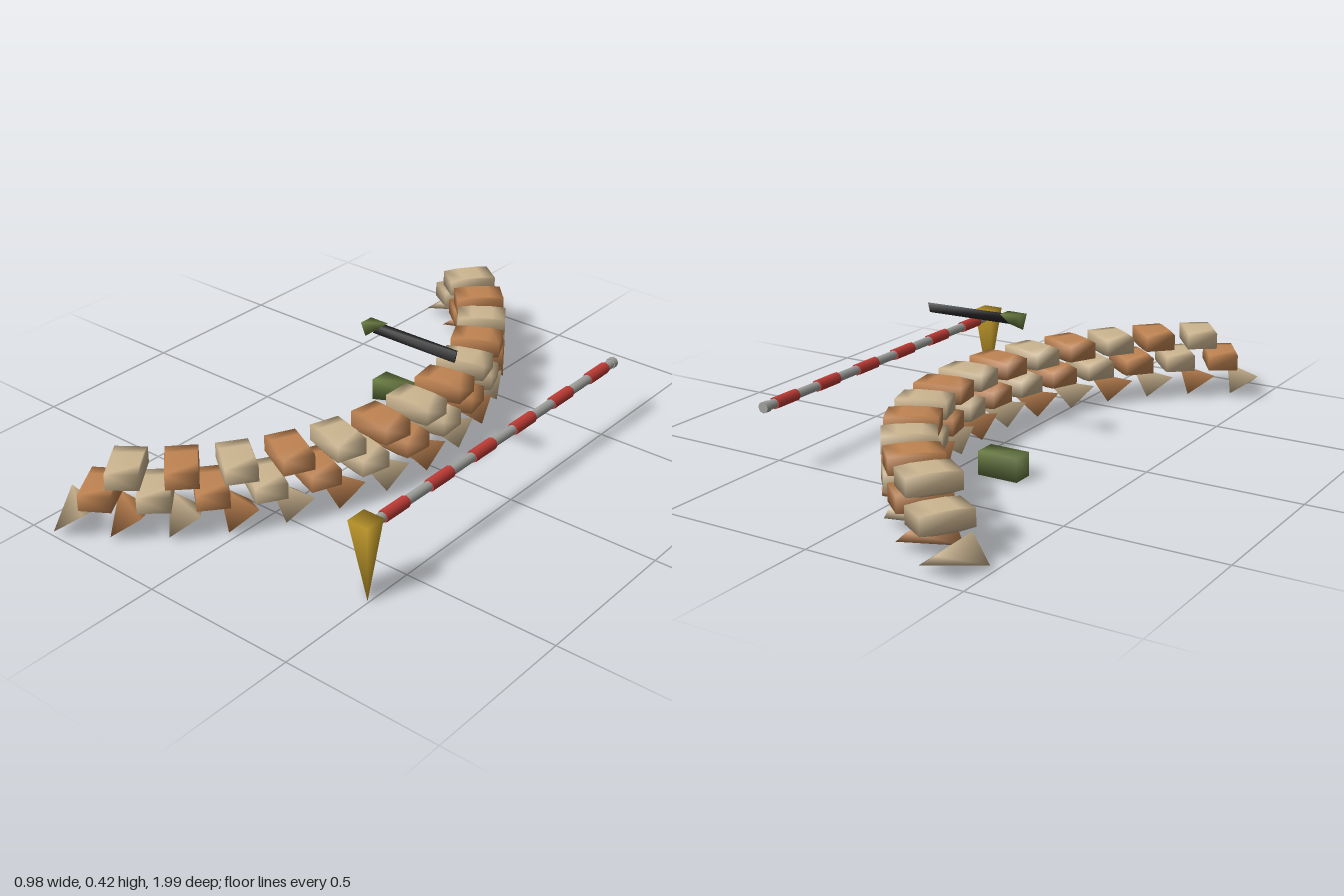
import * as THREE from 'three';
import { mergeVertices } from 'three/addons/utils/BufferGeometryUtils.js';
import { ConvexGeometry } from 'three/addons/geometries/ConvexGeometry.js';

const mat = (name, color) => new THREE.MeshStandardMaterial({ name, color });

// Convex solid from a few corner points, with soft normals
function hull(points) {
  const geo = new ConvexGeometry(points.map((p) => new THREE.Vector3(...p)));
  geo.deleteAttribute('normal');
  const soft = mergeVertices(geo);
  soft.computeVertexNormals();
  return soft;
}

export function createModel() {
  const model = new THREE.Group();
  const sand = mat('sand canvas', 0xcdb691);
  const brown = mat('brown canvas', 0xc08452);
  const yellow = mat('yellow post', 0xcfa52e);
  const red = mat('red band', 0xc23c36);
  const grey = mat('grey metal', 0xa3a3a0);
  const green = mat('olive green', 0x66783f);
  const black = mat('gun black', 0x222224);

  function add(parent, name, geometry, material, x = 0, y = 0, z = 0) {
    const mesh = new THREE.Mesh(geometry, material);
    mesh.name = name;
    mesh.position.set(x, y, z);
    parent.add(mesh);
    return mesh;
  }

  // Sandbags: local x is radial, local z runs along the wall
  const corners = [];
  for (const sx of [-1, 1]) for (const sy of [-1, 1]) for (const sz of [-1, 1]) {
    corners.push([sx * 0.08, sy * 0.026, sz * 0.049], [sx * 0.035, sy * 0.032, sz * 0.046]);
  }
  const fullBag = hull(corners);
  const wedgeBag = hull([
    [0.08, 0.031, -0.046], [-0.08, 0.031, 0.046],
    [0.08, -0.031, 0.046], [-0.08, -0.031, -0.046],
  ]);

  // Three staggered courses on an arc
  const wall = new THREE.Group();
  wall.name = 'sandbagWall';
  model.add(wall);
  const cx = -0.89, radius = 1.025, step = 0.1546;
  const courses = [
    { name: 'bottomBag', count: 15, y: 0.044, geo: wedgeBag, colours: [sand, brown] },
    { name: 'middleBag', count: 14, y: 0.121, geo: fullBag, colours: [brown, sand] },
    { name: 'topBag', count: 13, y: 0.198, geo: fullBag, colours: [sand, brown] },
  ];
  for (const { name, count, y, geo, colours } of courses) {
    for (let i = 0; i < count; i++) {
      const a = ((count - 1) / 2 - i) * step;
      const bag = add(wall, name, geo, colours[i % 2],
        cx + radius * Math.cos(a), y, radius * Math.sin(a));
      bag.rotation.y = -a;
    }
  }

  // Barrier: tapered post, pole and bands
  const barrier = new THREE.Group();
  barrier.name = 'barrier';
  barrier.position.set(0.46, 0, 0);
  model.add(barrier);
  add(barrier, 'barrierPost', hull([
    [-0.035, 0.235, -0.035], [0.035, 0.235, -0.035],
    [-0.035, 0.235, 0.035], [0.035, 0.235, 0.035],
    [-0.03, 0, -0.035], [0.035, 0, 0.035],
  ]), yellow, 0, 0, 0.63);
  const poleGeo = new THREE.CylinderGeometry(0.015, 0.015, 1.2, 8).rotateX(Math.PI / 2);
  add(barrier, 'barrierPole', poleGeo, grey, 0, 0.206, 0);
  const capGeo = new THREE.CylinderGeometry(0.018, 0.018, 0.02, 8).rotateX(Math.PI / 2);
  add(barrier, 'poleCap', capGeo, grey, 0, 0.206, -0.6);
  const bandGeo = new THREE.CylinderGeometry(0.019, 0.019, 0.1, 8).rotateX(Math.PI / 2);
  for (let i = 0; i < 6; i++) {
    add(barrier, 'redBand', bandGeo, red, 0, 0.206, -0.508 + i * 0.203);
  }

  // Supply box with one lower corner cut away
  add(model, 'supplyBox', hull([
    [-0.067, 0.075, -0.036], [0.067, 0.075, -0.036],
    [-0.067, 0.075, 0.036], [0.067, 0.075, 0.036],
    [-0.067, 0, 0.036], [0.067, 0, -0.036], [-0.067, 0, -0.036],
  ]), green, -0.15, 0, -0.248);

  // Gun above the wall: stock and long slim barrel
  const gun = new THREE.Group();
  gun.name = 'mountedGun';
  model.add(gun);
  add(gun, 'gunStock', hull([
    [-0.065, 0.424, -0.024], [-0.065, 0.424, 0.024], [-0.06, 0.375, 0.01],
    [0.002, 0.424, -0.024], [0.002, 0.424, 0.024], [-0.03, 0.397, -0.02],
  ]), green);
  add(gun, 'gunBarrel', hull([
    [-0.035, 0.42, -0.018], [-0.035, 0.39, 0.002], [-0.03, 0.42, 0.006],
    [0.275, 0.423, -0.016], [0.275, 0.42, -0.01], [0.275, 0.389, 0], [0.275, 0.389, -0.005],
  ]), black);

  return model;
}
